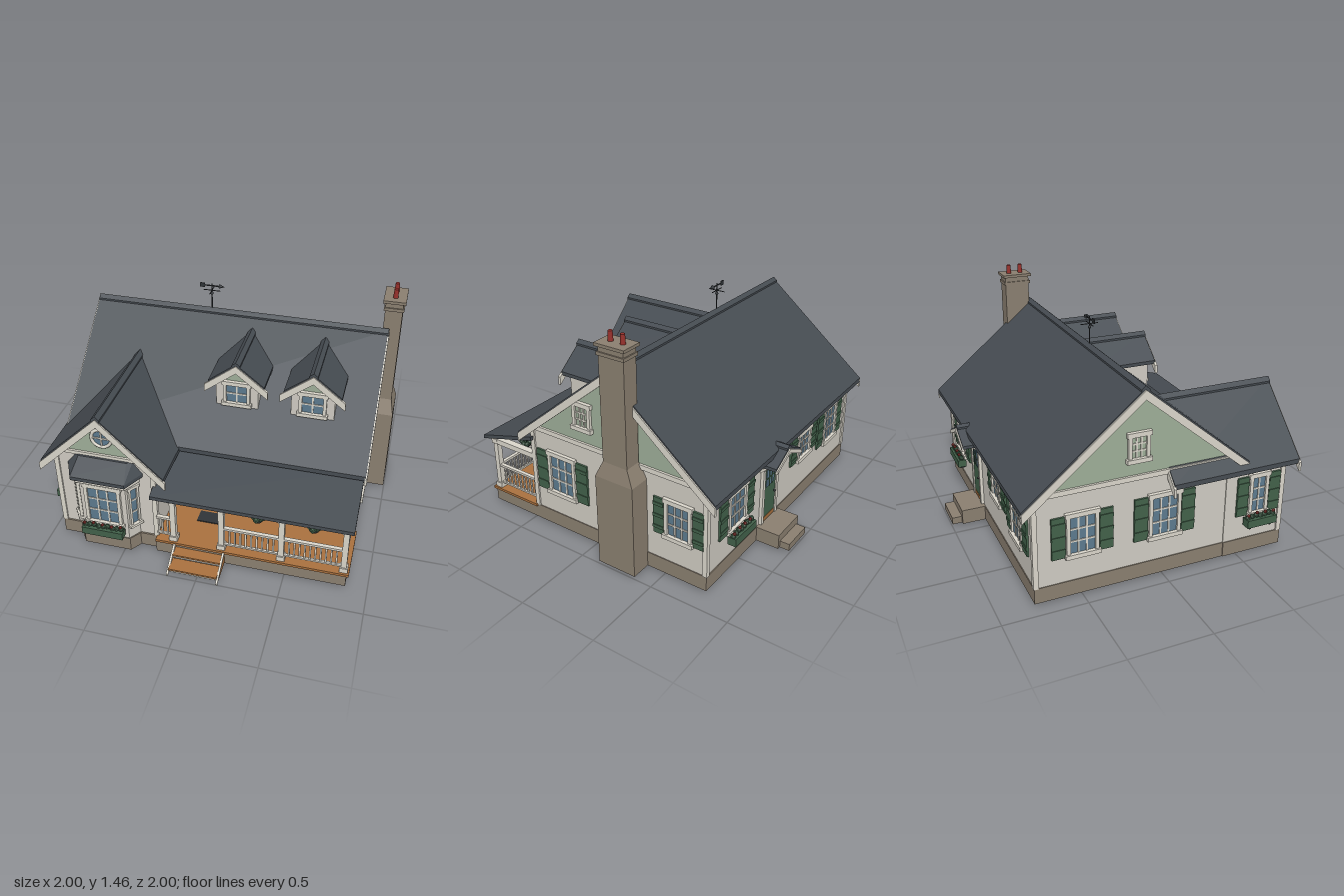
import * as THREE from 'three';

const mat = (name, color) => Object.assign(new THREE.MeshStandardMaterial({ color }), { name });
const M = {
  wall: mat('wall plaster', 0xcfcbc2), trim: mat('cream trim', 0xdad6cb), roof: mat('slate roof', 0x464c52),
  stone: mat('stone', 0x8a7f70), sage: mat('sage siding', 0x9eae98), green: mat('shutter green', 0x42614a),
  red: mat('brick red', 0x96302b), glass: mat('window glass', 0x5c7a8e), wood: mat('porch wood', 0xa9713f),
  iron: mat('black iron', 0x303438),
};

function add(parent, name, geo, m, x = 0, y = 0, z = 0) {
  const mesh = new THREE.Mesh(geo, m);
  mesh.name = name;
  mesh.position.set(x, y, z);
  parent.add(mesh);
  return mesh;
}
function group(parent, name, x = 0, y = 0, z = 0, ry = 0) {
  const g = new THREE.Group();
  g.name = name;
  g.position.set(x, y, z);
  g.rotation.y = ry;
  parent.add(g);
  return g;
}
// box given by its limits
const box = (p, name, m, x0, x1, y0, y1, z0, z1) => add(p, name, new THREE.BoxGeometry(x1 - x0, y1 - y0, z1 - z0),
  m, (x0 + x1) / 2, (y0 + y1) / 2, (z0 + z1) / 2);
// polygon in x-y pushed along z
function prism(p, name, m, pts, z0, z1) {
  const shape = new THREE.Shape(pts.map(([x, y]) => new THREE.Vector2(x, y)));
  return add(p, name, new THREE.ExtrudeGeometry(shape, { depth: z1 - z0, bevelEnabled: false }), m, 0, 0, z0);
}
// polygon in z-y pushed along x
function prismX(p, name, m, pts, x0, x1) {
  const mesh = prism(p, name, m, pts.map(([z, y]) => [-z, y]), 0, x1 - x0);
  mesh.rotation.y = Math.PI / 2;
  mesh.position.x = x0;
  return mesh;
}
// skin over horizontal four-cornered rings, closed at both ends
function loft(p, name, m, rings, x = 0) {
  const v = [], quad = (a, b, c, d) => v.push(...a, ...b, ...c, ...a, ...c, ...d);
  for (let r = 0; r + 1 < rings.length; r++)
    for (let i = 0; i < 4; i++) {
      const j = (i + 1) % 4;
      quad(rings[r][i], rings[r][j], rings[r + 1][j], rings[r + 1][i]);
    }
  quad(...rings[rings.length - 1]);
  quad(...[...rings[0]].reverse());
  const g = new THREE.BufferGeometry();
  g.setAttribute('position', new THREE.Float32BufferAttribute(v, 3));
  g.computeVertexNormals();
  return add(p, name, g, m, x);
}
const ring = (y, x0, x1, z0, z1) => [[x0, y, z1], [x1, y, z1], [x1, y, z0], [x0, y, z0]];
const trap = (y, back, front, z0, z1) => [[-front, y, z1], [front, y, z1], [back, y, z0], [-back, y, z0]];

// pitched roof with ridge along z: slabs, ridge cap and rake boards
function gableRoof(p, name, { half, ridge, s, t, z0, z1, rake, rakeHalf = half }) {
  const chevron = (h, r, k) => [[-h, r - s * h], [-h, r - s * h - k], [0, r - k], [h, r - s * h - k], [h, r - s * h], [0, r]];
  prism(p, name, M.roof, chevron(half, ridge, t), z0, z1);
  prism(p, name + ' ridge cap', M.roof, chevron(0.025, ridge + 0.012, 0.02), z0, z1 + 0.004);
  for (const z of [z0, z1]) prism(p, name + ' rake board', M.trim, chevron(rakeHalf, ridge - 0.01, rake), z - 0.008, z + 0.008);
}
const gableWall = (p, name, m, half, y, top, z0, z1) => prism(p, name, m, [[-half, y], [half, y], [0, top]], z0, z1);

function flowerBox(p, w, y, z) {
  const g = group(p, 'flower box', 0, y, z);
  box(g, 'planter', M.green, -w / 2, w / 2, -0.03, 0.02, 0, 0.055);
  const n = Math.round(w / 0.028);
  for (let i = 0; i < n; i++) {
    const x = (i + 0.5) / n * w - w / 2, up = (i * 7 % 3) * 0.005;
    add(g, 'foliage', new THREE.IcosahedronGeometry(0.018, 0), M.green, x, 0.026 + up, 0.028);
    if (i % 2 === 0) add(g, 'flower', new THREE.IcosahedronGeometry(0.011, 0), M.red, x, 0.045 + up, 0.036);
  }
  for (const x of [-w * 0.35, w * 0.35]) box(g, 'planter bracket', M.iron, x - 0.006, x + 0.006, -0.05, -0.03, 0, 0.035);
}
// window facing local +z, w and h measured over the frame
function makeWindow(p, name, x, y, z, ry, w, h, { cols = 3, rows = 3, shutter = 0, planter = 0, pane = M.glass, f = 0.022 } = {}) {
  const g = group(p, name, x, y, z, ry), a = w / 2, b = h / 2;
  box(g, 'pane', pane, -a + f, a - f, -b + f, b - f, 0, 0.006);
  for (const s of [-1, 1]) box(g, 'side casing', M.trim, s * (a - f / 2) - f / 2, s * (a - f / 2) + f / 2, -b, b, 0, 0.018);
  box(g, 'head casing', M.trim, -a - 0.008, a + 0.008, b - f, b + 0.006, 0, 0.022);
  box(g, 'sill', M.trim, -a - 0.01, a + 0.01, -b - 0.004, -b + f, 0, 0.028);
  for (let i = 1; i < cols; i++) {
    const c = -a + f + (w - 2 * f) * i / cols;
    box(g, 'upright bar', M.trim, c - 0.005, c + 0.005, -b + f, b - f, 0, 0.011);
  }
  for (let i = 1; i < rows; i++) {
    const c = -b + f + (h - 2 * f) * i / rows;
    box(g, 'cross bar', M.trim, -a + f, a - f, c - 0.005, c + 0.005, 0, 0.011);
  }
  if (shutter) for (const s of [-1, 1]) {
    const c = s * (a + 0.006 + shutter / 2);
    box(g, 'shutter', M.green, c - shutter / 2, c + shutter / 2, -b + 0.005, b - 0.01, 0, 0.012);
    for (const k of [-0.6, 0, 0.6]) box(g, 'shutter rail', M.green, c - shutter / 2, c + shutter / 2, k * b - 0.01, k * b + 0.01, 0, 0.017);
  }
  if (planter) flowerBox(g, planter, -b - 0.02, 0.018);
}
function makeDoor(p, name, m, x, z, ry, w, y0, y1) {
  const g = group(p, name, x, 0, z, ry), a = w / 2, h = y1 - y0;
  box(g, 'door leaf', m, -a, a, y0, y1, 0, 0.012);
  for (const s of [-1, 1]) box(g, 'door casing', M.trim, s * (a + 0.013) - 0.013, s * (a + 0.013) + 0.013, y0, y1 + 0.02, 0, 0.02);
  box(g, 'door head', M.trim, -a - 0.03, a + 0.03, y1, y1 + 0.025, 0, 0.024);
  box(g, 'door glass', M.glass, -a * 0.66, a * 0.66, y0 + h * 0.64, y0 + h * 0.94, 0.01, 0.016);
  for (const k of [-0.22, 0.22]) box(g, 'glass bar', m, k * a - 0.004, k * a + 0.004, y0 + h * 0.64, y0 + h * 0.94, 0.01, 0.019);
  box(g, 'glass cross bar', m, -a * 0.66, a * 0.66, y0 + h * 0.78, y0 + h * 0.8, 0.01, 0.019);
  box(g, 'kick plate', M.wood, -a * 0.9, a * 0.9, y0 + 0.005, y0 + 0.03, 0.01, 0.015);
  add(g, 'door knob', new THREE.SphereGeometry(0.008, 10, 8), M.iron, a * 0.75, y0 + h * 0.45, 0.02);
}
// balustrade along local x
function railing(p, x, z, ry, len) {
  const g = group(p, 'railing', x, 0, z, ry);
  box(g, 'top rail', M.trim, 0, len, 0.27, 0.285, -0.012, 0.012);
  box(g, 'bottom rail', M.trim, 0, len, 0.145, 0.157, -0.008, 0.008);
  const n = Math.round(len / 0.032);
  for (let i = 1; i < n; i++) box(g, 'baluster', M.trim, len * i / n - 0.005, len * i / n + 0.005, 0.15, 0.272, -0.005, 0.005);
}

export function createModel() {
  const house = new THREE.Group();
  house.name = 'cottage';
  const PI = Math.PI;

  // foundation and walls
  box(house, 'main foundation', M.stone, -0.915, 0.87, 0.015, 0.11, -0.785, 0.47);
  box(house, 'wing foundation', M.stone, -0.92, -0.295, 0.015, 0.11, 0.4, 0.8);
  box(house, 'porch foundation', M.stone, -0.3, 0.87, 0.015, 0.1, 0.4, 0.83);
  box(house, 'main walls', M.wall, -0.91, 0.865, 0.11, 0.66, -0.78, 0.465);
  box(house, 'wing walls', M.wall, -0.915, -0.3, 0.11, 0.67, 0.4, 0.79);
  for (const [x, z] of [[-0.905, -0.775], [0.86, -0.775], [0.86, 0.46], [-0.91, 0.785], [-0.305, 0.785]])
    box(house, 'corner board', M.trim, x - 0.015, x + 0.015, 0.11, 0.665, z - 0.015, z + 0.015);

  // main roof, ridge along x
  const main = group(house, 'main roof', 0, 0, -0.155, PI / 2);
  gableRoof(main, 'main roof', { half: 0.7, ridge: 1.205, s: 0.829, t: 0.03, z0: -0.955, z1: 0.905, rake: 0.055 });
  gableWall(main, 'main gable', M.sage, 0.62, 0.66, 1.174, -0.908, 0.863);
  for (const z of [-0.91, 0.865]) box(main, 'gable band', M.trim, -0.61, 0.61, 0.655, 0.685, z - 0.012, z + 0.012);

  // front wing roof and gable
  const wing = group(house, 'front wing', -0.605);
  gableRoof(wing, 'wing roof', { half: 0.382, rakeHalf: 0.393, ridge: 0.985, s: 0.974, t: 0.03, z0: 0.02, z1: 0.845, rake: 0.055 });
  gableWall(wing, 'wing gable', M.sage, 0.3, 0.665, 0.955, 0.4, 0.788);
  box(wing, 'gable band', M.trim, -0.295, 0.295, 0.662, 0.685, 0.78, 0.802);
  const round = group(wing, 'round window', 0, 0.805, 0.79);
  add(round, 'round pane', new THREE.CircleGeometry(0.06, 28), M.glass, 0, 0, 0.005);
  add(round, 'round frame', new THREE.TorusGeometry(0.06, 0.01, 8, 28), M.trim, 0, 0, 0.006);
  box(round, 'upright bar', M.trim, -0.005, 0.005, -0.06, 0.06, 0, 0.011);
  box(round, 'cross bar', M.trim, -0.06, 0.06, -0.005, 0.005, 0, 0.011);

  // bay window
  const bay = group(wing, 'bay window');
  loft(bay, 'bay foundation', M.stone, [trap(0.015, 0.21, 0.15, 0.78, 0.865), trap(0.11, 0.21, 0.15, 0.78, 0.865)]);
  loft(bay, 'bay walls', M.wall, [trap(0.11, 0.2, 0.145, 0.78, 0.86), trap(0.54, 0.2, 0.145, 0.78, 0.86)]);
  loft(bay, 'bay cornice', M.trim, [trap(0.52, 0.22, 0.155, 0.78, 0.89), trap(0.56, 0.22, 0.155, 0.78, 0.89)]);
  loft(bay, 'bay roof', M.roof, [trap(0.56, 0.24, 0.168, 0.78, 0.92), trap(0.585, 0.24, 0.168, 0.78, 0.92), trap(0.665, 0.18, 0.15, 0.78, 0.815)]);
  makeWindow(bay, 'bay front window', 0, 0.355, 0.86, 0, 0.23, 0.3, { planter: 0.26 });
  for (const s of [-1, 1])
    makeWindow(bay, 'bay side window', s * 0.1725, 0.355, 0.82, s * 0.968, 0.07, 0.3, { cols: 1, f: 0.014 });

  // dormers
  for (const x of [0.08, 0.54]) {
    const d = group(house, 'dormer', x);
    box(d, 'dormer walls', M.wall, -0.13, 0.13, 0.8, 0.995, 0, 0.31);
    gableWall(d, 'dormer gable', M.sage, 0.145, 0.995, 1.115, 0, 0.309);
    gableRoof(d, 'dormer roof', { half: 0.172, rakeHalf: 0.194, ridge: 1.135, s: 0.79, t: 0.022, z0: -0.08, z1: 0.34, rake: 0.05 });
    makeWindow(d, 'dormer window', 0, 0.915, 0.31, 0, 0.165, 0.16, { cols: 2, rows: 2, f: 0.02 });
  }

  // porch
  const porch = group(house, 'porch');
  box(porch, 'porch floor', M.wood, -0.3, 0.885, 0.1, 0.117, 0.465, 0.84);
  prismX(porch, 'porch roof', M.roof, [[0.455, 0.58], [0.87, 0.466], [0.87, 0.49], [0.455, 0.605]], -0.307, 0.895);
  box(porch, 'front beam', M.trim, -0.297, 0.875, 0.44, 0.472, 0.78, 0.825);
  box(porch, 'side beam', M.trim, 0.83, 0.873, 0.44, 0.475, 0.465, 0.8);
  for (const x of [-0.19, 0.11, 0.475, 0.85]) {
    box(porch, 'post', M.trim, x - 0.017, x + 0.017, 0.117, 0.44, 0.785, 0.819);
    box(porch, 'post base', M.trim, x - 0.025, x + 0.025, 0.117, 0.15, 0.777, 0.827);
    for (const s of [-1, 1]) if (x + s * 0.06 < 0.88)
      prism(porch, 'post bracket', M.trim, [[x, 0.38], [x + s * 0.05, 0.43], [x + s * 0.05, 0.442], [x, 0.442]], 0.794, 0.81);
  }
  railing(porch, -0.295, 0.802, 0, 0.1);
  railing(porch, 0.125, 0.802, 0, 0.335);
  railing(porch, 0.49, 0.802, 0, 0.345);
  railing(porch, 0.85, 0.785, PI / 2, 0.32);
  makeDoor(porch, 'front door', M.red, -0.027, 0.465, 0, 0.165, 0.118, 0.455);
  box(porch, 'door mat', M.iron, -0.1, 0.045, 0.117, 0.123, 0.53, 0.62);
  makeWindow(porch, 'porch window', 0.48, 0.355, 0.465, 0, 0.2, 0.23, { shutter: 0.11, planter: 0.26 });
  const lamp = group(porch, 'wall lantern', 0.12, 0.44, 0.5);
  box(lamp, 'lantern body', M.iron, -0.014, 0.014, -0.035, 0.012, -0.014, 0.014);
  add(lamp, 'lantern cap', new THREE.ConeGeometry(0.024, 0.02, 4), M.iron, 0, 0.022, 0);
  box(lamp, 'lantern arm', M.iron, -0.004, 0.004, 0, 0.008, -0.035, 0);
  for (const x of [0.32, 0.655]) {
    const b = group(porch, 'hanging basket', x, 0.36, 0.75);
    add(b, 'basket bowl', new THREE.SphereGeometry(0.034, 12, 6, 0, 2 * PI, PI / 2, PI / 2), M.iron);
    add(b, 'basket wire', new THREE.CylinderGeometry(0.002, 0.002, 0.13, 6), M.iron, 0, 0.065, 0);
    for (let i = 0; i < 7; i++)
      add(b, 'basket foliage', new THREE.IcosahedronGeometry(0.019, 0), M.green, 0.027 * Math.cos(i * 0.9), i % 2 * 0.012, 0.027 * Math.sin(i * 0.9));
  }

  // front steps
  for (const [z0, z1, y] of [[0.825, 0.9, 0.078], [0.89, 0.985, 0.043]]) {
    box(porch, 'step tread', M.wood, -0.175, 0.125, y - 0.012, y, z0, z1);
    box(porch, 'step riser', M.trim, -0.175, 0.125, y - 0.034, y - 0.012, z0, z1 - 0.012);
  }
  for (const x of [-0.185, 0.122]) {
    prismX(porch, 'stringer', M.trim, [[0.83, 0.095], [1, 0], [1, 0.012], [0.83, 0.115]], x, x + 0.013);
    prismX(porch, 'stringer panel', M.wood, [[0.83, 0.015], [0.985, 0.003], [0.83, 0.098]], x + 0.002, x + 0.011);
  }

  // side windows
  const R = 0.865, L = -0.91;
  makeWindow(house, 'right front window', R, 0.398, 0.237, PI / 2, 0.21, 0.285, { shutter: 0.085 });
  makeWindow(house, 'right back window', R, 0.4, -0.6, PI / 2, 0.18, 0.25, { shutter: 0.07 });
  makeWindow(house, 'right gable vent', R, 0.855, 0.057, PI / 2, 0.13, 0.17, { pane: M.sage });
  makeWindow(house, 'left gable vent', L, 0.855, -0.17, -PI / 2, 0.13, 0.17, { pane: M.sage });
  makeWindow(house, 'left back window', L, 0.4, -0.5, -PI / 2, 0.19, 0.27, { shutter: 0.08 });
  makeWindow(house, 'left middle window', L, 0.4, 0, -PI / 2, 0.2, 0.285, { shutter: 0.085 });
  makeWindow(house, 'left wing window', -0.915, 0.4, 0.62, -PI / 2, 0.13, 0.27, { cols: 2, shutter: 0.075, planter: 0.2 });

  // back windows, door, hood and stoop
  makeWindow(house, 'back kitchen window', 0.56, 0.4, -0.78, PI, 0.2, 0.26, { shutter: 0.08, planter: 0.23 });
  makeWindow(house, 'back small window', -0.265, 0.42, -0.78, PI, 0.18, 0.2, { shutter: 0.08 });
  makeWindow(house, 'back bedroom window', -0.65, 0.4, -0.78, PI, 0.19, 0.27, { shutter: 0.08 });
  const back = group(house, 'back entrance', 0.185);
  makeDoor(back, 'back door', M.green, 0, -0.78, PI, 0.14, 0.115, 0.49);
  gableRoof(back, 'door hood', { half: 0.15, ridge: 0.645, s: 0.5, t: 0.02, z0: -0.905, z1: -0.78, rake: 0.025, rakeHalf: 0.148 });
  gableWall(back, 'hood gable', M.trim, 0.11, 0.57, 0.625, -0.895, -0.78);
  for (const x of [-0.1, 0.1])
    prismX(back, 'hood bracket', M.trim, [[-0.78, 0.48], [-0.78, 0.5], [-0.87, 0.575], [-0.89, 0.575]], x - 0.008, x + 0.008);
  box(back, 'stoop', M.stone, -0.125, 0.125, 0.015, 0.11, -0.935, -0.78);
  box(back, 'stoop step', M.stone, -0.105, 0.105, 0.015, 0.06, -0.997, -0.93);

  // chimney
  const ch = group(house, 'chimney');
  loft(ch, 'chimney stack', M.stone, [ring(0.015, 0.85, 0.997, -0.385, -0.13), ring(0.6, 0.85, 0.997, -0.385, -0.13),
    ring(0.695, 0.87, 0.975, -0.337, -0.172), ring(1.39, 0.87, 0.975, -0.337, -0.172)]);
  box(ch, 'chimney band', M.stone, 0.862, 0.983, 1.33, 1.35, -0.345, -0.164);
  box(ch, 'chimney cap', M.stone, 0.855, 0.99, 1.382, 1.4, -0.352, -0.157);
  for (const z of [-0.215, -0.295]) add(ch, 'chimney pot', new THREE.CylinderGeometry(0.013, 0.016, 0.06, 14), M.red, 0.922, 1.427, z);

  // weathervane
  const vane = group(house, 'weathervane', -0.2, 0, -0.155);
  add(vane, 'vane rod', new THREE.CylinderGeometry(0.004, 0.004, 0.18, 8), M.iron, 0, 1.29, 0);
  add(vane, 'vane ball', new THREE.SphereGeometry(0.01, 10, 8), M.iron, 0, 1.315, 0);
  box(vane, 'compass bar', M.iron, -0.055, 0.055, 1.333, 1.337, -0.002, 0.002);
  box(vane, 'compass cross bar', M.iron, -0.002, 0.002, 1.333, 1.337, -0.055, 0.055);
  box(vane, 'vane arm', M.iron, -0.06, 0.06, 1.364, 1.37, -0.003, 0.003);
  box(vane, 'vane tail', M.iron, -0.075, -0.045, 1.353, 1.381, -0.003, 0.003);
  add(vane, 'vane arrow', new THREE.ConeGeometry(0.014, 0.035, 8), M.iron, 0.065, 1.367, 0).rotation.z = -PI / 2;

  return house;
}
